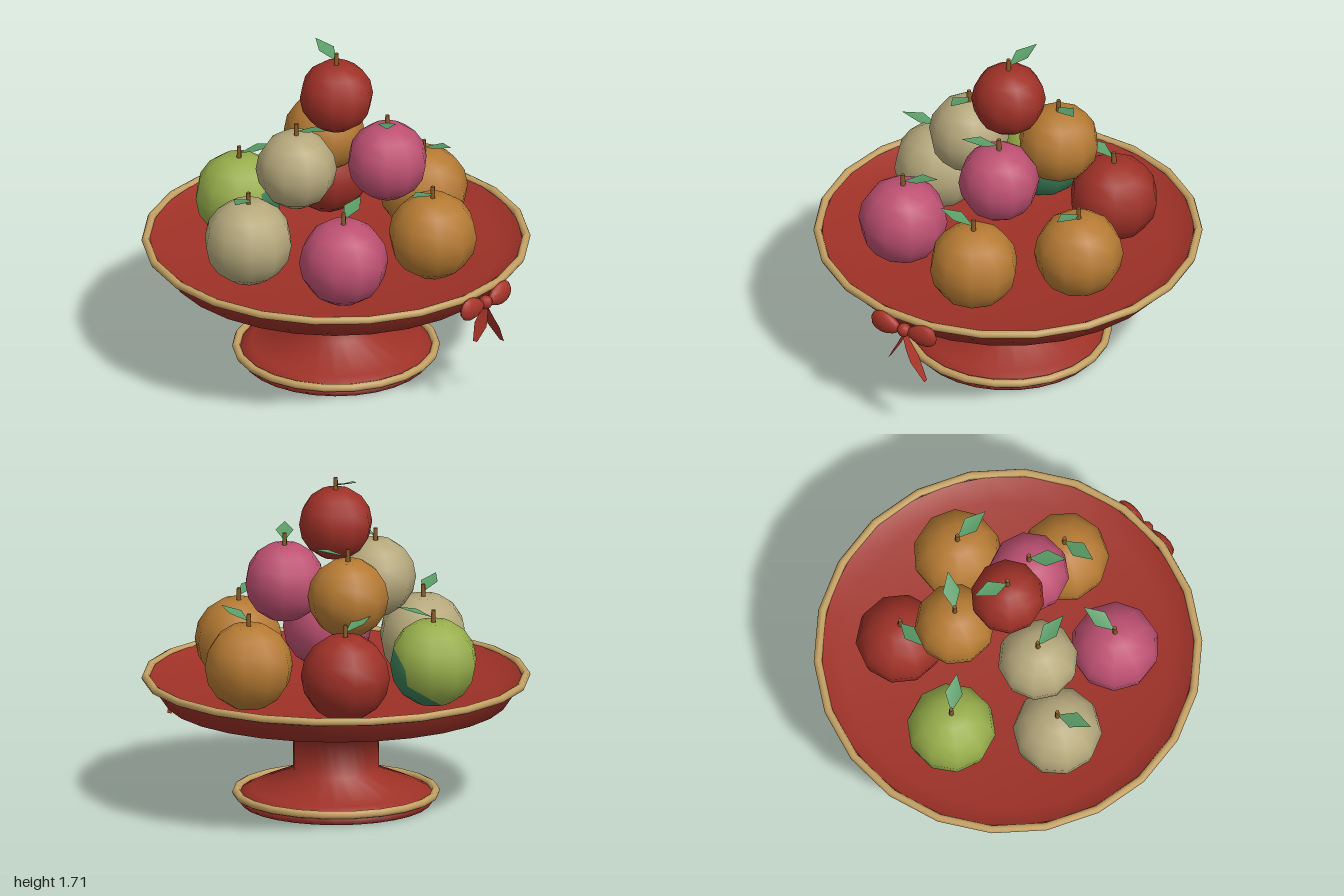
import * as THREE from 'three';

const mat = (name, color, side = THREE.FrontSide) => {
  const m = new THREE.MeshStandardMaterial({ color, side });
  m.name = name;
  return m;
};

export function createModel() {
  const red = mat('red', 0x9e3127);
  const gold = mat('gold', 0xc4a163);
  const orange = mat('orange', 0xb57a33);
  const pink = mat('pink', 0xbd5072);
  const cream = mat('cream', 0xb5a87c);
  const lime = mat('lime', 0x97ae4b);
  const darkGreen = mat('dark green', 0x3a7d56);
  const leafGreen = mat('leaf green', 0x5a9c67, THREE.DoubleSide);
  const brown = mat('stem brown', 0x8c5c2a);
  const ribbon = mat('ribbon red', 0xa83529, THREE.DoubleSide);

  const model = new THREE.Group();
  model.name = 'fruitStand';
  const add = (parent, name, geometry, material, x = 0, y = 0, z = 0) => {
    const mesh = new THREE.Mesh(geometry, material);
    mesh.name = name;
    mesh.position.set(x, y, z);
    parent.add(mesh);
    return mesh;
  };

  // Footed bowl, with the inside of the dish in the same profile
  const axisZ = -0.022;
  const profile = [
    [0, 0], [0.48, 0], [0.512, 0.045], [0.43, 0.085], [0.217, 0.175], [0.217, 0.375],
    [0.868, 0.53], [0.95, 0.65], [0.94, 0.665], [0.83, 0.585], [0.3, 0.55], [0, 0.545],
  ].map(([r, y]) => new THREE.Vector2(r, y));
  add(model, 'bowl', new THREE.LatheGeometry(profile, 28), red, 0, 0, axisZ);

  // Gold edging on the rim and the foot
  for (const [name, r, y] of [['rimTrim', 0.965, 0.659], ['footTrim', 0.506, 0.058]]) {
    const ring = new THREE.TorusGeometry(r, 0.021, 8, 22);
    ring.rotateX(Math.PI / 2);
    add(model, name, ring, gold, 0, y, axisZ);
  }

  // Round fruit with the poles pressed in
  const fruitGeo = new THREE.SphereGeometry(1, 10, 8);
  const pos = fruitGeo.attributes.position;
  for (let i = 0; i < pos.count; i++) {
    if (Math.abs(pos.getY(i)) > 0.99) pos.setY(i, Math.sign(pos.getY(i)) * 0.92);
  }

  // Two-tone fruit: triangles low on the front side use the second material
  const twoToneGeo = fruitGeo.clone();
  const shade = new THREE.Vector3(0.35, -0.6, 0.7).normalize();
  const index = twoToneGeo.index;
  const centre = new THREE.Vector3(), corner = new THREE.Vector3();
  for (let i = 0; i < index.count; i += 3) {
    centre.set(0, 0, 0);
    for (let k = 0; k < 3; k++) {
      centre.add(corner.fromBufferAttribute(twoToneGeo.attributes.position, index.getX(i + k)));
    }
    twoToneGeo.addGroup(i, 3, centre.normalize().dot(shade) > 0.4 ? 1 : 0);
  }

  // Diamond leaf along +x, rising to its tip
  const leafGeo = new THREE.BufferGeometry();
  leafGeo.setAttribute('position', new THREE.Float32BufferAttribute(
    [0, 0, 0, 0.09, 0.035, 0.045, 0.19, 0.055, 0, 0.09, 0.035, -0.045], 3));
  leafGeo.setIndex([0, 1, 2, 0, 2, 3]);
  leafGeo.computeVertexNormals();
  const stemGeo = new THREE.CylinderGeometry(0.011, 0.014, 0.09, 6);

  // x, y, z, radius, colour, leaf direction in x and z
  const fruits = [
    [-0.13, 0.79, -0.55, 0.227, [lime, darkGreen], 22, 29],
    [0.395, 0.79, -0.4, 0.227, red, -28, -2],
    [0.52, 0.79, 0.127, 0.227, orange, -2, 36],
    [0.13, 0.79, 0.505, 0.227, orange, -38, 4],
    [-0.394, 0.79, 0.35, 0.227, pink, 34, -7],
    [-0.515, 0.79, -0.175, 0.227, cream, -35, 12],
    [-0.263, 1.135, -0.067, 0.206, cream, 2, 37],
    [0.105, 1.135, 0.228, 0.206, pink, -25, 20],
    [0.168, 1.135, -0.235, 0.206, orange, 27, 18],
    [0.003, 1.46, -0.022, 0.189, red, 9, -30],
  ];
  fruits.forEach(([x, y, z, r, material, dx, dz], i) => {
    const group = new THREE.Group();
    group.name = 'fruit' + (i + 1);
    group.position.set(x, y, z);
    const flesh = add(group, 'flesh', Array.isArray(material) ? twoToneGeo : fruitGeo, material);
    flesh.scale.setScalar(r);
    if (i > 0) flesh.rotation.y = i * 0.9;
    add(group, 'stem', stemGeo, brown, 0, r * 0.92 + 0.018, 0);
    const leaf = add(group, 'leaf', leafGeo, leafGreen, 0, r + 0.005, 0);
    leaf.rotation.y = Math.atan2(-dz, dx);
    model.add(group);
  });

  // Ribbon bow on the front of the rim
  const bow = new THREE.Group();
  bow.name = 'bow';
  bow.position.set(0, 0.6, 0.957);
  model.add(bow);
  add(bow, 'knot', new THREE.SphereGeometry(0.036, 10, 8), ribbon);
  for (const side of [-1, 1]) {
    const lobe = new THREE.SphereGeometry(1, 12, 8);
    const p = lobe.attributes.position;
    for (let i = 0; i < p.count; i++) {
      // Narrow towards the knot
      p.setY(i, p.getY(i) * (1 + 0.25 * side * p.getX(i)));
    }
    lobe.scale(0.088, 0.058, 0.034);
    lobe.computeVertexNormals();
    const loop = add(bow, side > 0 ? 'leftLoop' : 'rightLoop', lobe, ribbon, side * 0.108, 0.005, 0);
    loop.rotation.z = side * 0.12;
  }

  // Flat tails, broad in the middle and set edge-on to the front
  const tail = (name, tipX, tipY) => {
    const points = [];
    for (const [t, w] of [[0, 0.015], [0.3, 0.03], [0.55, 0.039], [1, 0.013]]) {
      const x = tipX * Math.pow(t, 1.2), y = -0.02 + (tipY + 0.02) * t;
      points.push(x, y, w, x, y, -w);
    }
    const geo = new THREE.BufferGeometry();
    geo.setAttribute('position', new THREE.Float32BufferAttribute(points, 3));
    const faces = [];
    for (let i = 0; i < 6; i += 2) faces.push(i, i + 2, i + 1, i + 1, i + 2, i + 3);
    geo.setIndex(faces);
    geo.computeVertexNormals();
    add(bow, name, geo, ribbon);
  };
  tail('rightTail', -0.085, -0.19);
  tail('leftTail', 0.13, -0.265);

  return model;
}
